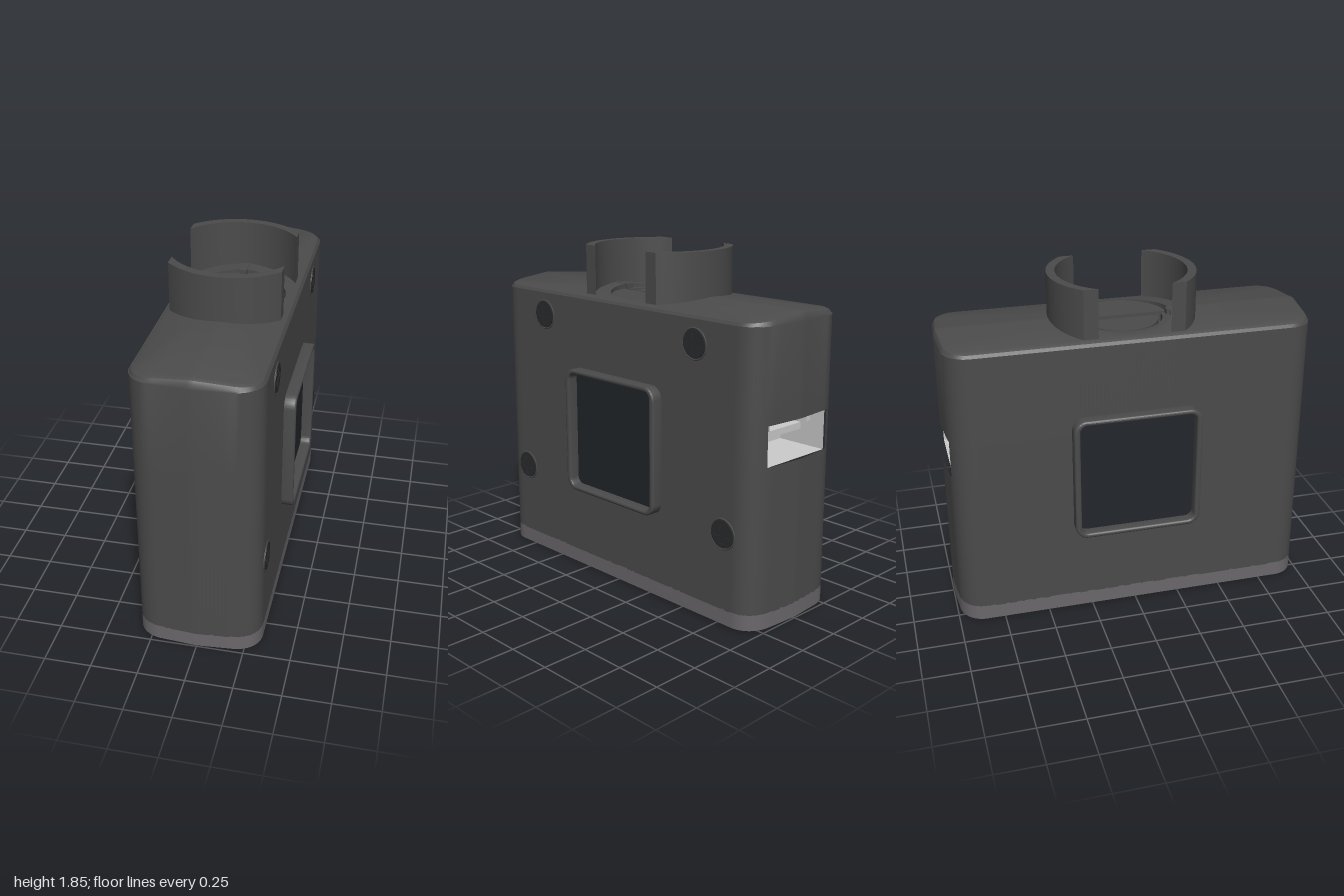
import * as THREE from 'three';
import { toCreasedNormals } from 'three/addons/utils/BufferGeometryUtils.js';

const mat = (color, side = THREE.FrontSide) => new THREE.MeshStandardMaterial({ color, side });
const dark = mat(0x4b4b4b), plate = mat(0x6b676b), black = mat(0x2a2b2c), glass = mat(0x22262a);
const pale = mat(0xcccccc), paleInside = mat(0xcccccc, THREE.BackSide);

function add(parent, name, geometry, material, x = 0, y = 0, z = 0) {
  const mesh = new THREE.Mesh(geometry, material);
  mesh.name = name;
  mesh.position.set(x, y, z);
  parent.add(mesh);
  return mesh;
}

const extrude = (shape, depth, bevel = 0) => toCreasedNormals(new THREE.ExtrudeGeometry(shape, {
  depth: depth - bevel, curveSegments: 24, bevelEnabled: bevel > 0,
  bevelSize: bevel, bevelOffset: -bevel, bevelThickness: bevel, bevelSegments: 3,
}), 0.6);

// extrude a plan shape upwards
const slab = (shape, depth) => extrude(shape, depth).rotateX(-Math.PI / 2);

function circle(r, x = 0, y = 0) {
  return new THREE.Path().absarc(x, y, r, 0, Math.PI * 2);
}

// plan outline with slightly bowed ends and rounded corners
function outline() {
  const s = new THREE.Shape();
  s.moveTo(0, 1);
  s.lineTo(0.2, 0.985);
  s.bezierCurveTo(0.28, 0.975, 0.33, 0.92, 0.33, 0.85);
  s.lineTo(0.33, -0.85);
  s.bezierCurveTo(0.33, -0.92, 0.28, -0.975, 0.2, -0.985);
  s.lineTo(0, -1);
  s.lineTo(-0.2, -0.985);
  s.bezierCurveTo(-0.28, -0.975, -0.33, -0.92, -0.33, -0.85);
  s.lineTo(-0.33, 0.85);
  s.bezierCurveTo(-0.33, 0.92, -0.28, 0.975, -0.2, 0.985);
  s.lineTo(0, 1);
  return s;
}

function roundedRect(Type, w, h, r) {
  const s = new Type();
  s.absarc(w - r, h - r, r, 0, Math.PI / 2);
  s.absarc(r - w, h - r, r, Math.PI / 2, Math.PI);
  s.absarc(r - w, r - h, r, Math.PI, Math.PI * 1.5);
  s.absarc(w - r, r - h, r, Math.PI * 1.5, Math.PI * 2);
  s.closePath();
  return s;
}

// housing: rings up the walls, over the ridged top and down into a round well
function housingGeometry() {
  const n = 240, pts = outline().getSpacedPoints(n).slice(0, n);
  const ridge = (x, y) => (y > 1.56 ? y - 0.09 * Math.abs(x) : y);
  const inset = (d, y) => pts.map((p, i) => {
    const t = pts[(i + 1) % n].clone().sub(pts[(i + n - 1) % n]).normalize();
    const x = p.x + t.y * d, z = p.y - t.x * d;
    return [x, ridge(x, y), z];
  });
  const round = (r, y) => pts.map((p) => {
    const l = p.length();
    return [p.x / l * r, ridge(p.x / l * r, y), p.y / l * r];
  });
  const rings = [
    inset(0, 0.08), inset(0, 0.86), inset(0, 1.07), inset(0, 1.555),
    inset(0.004, 1.582), inset(0.014, 1.598), inset(0.035, 1.607),
    round(0.265, 1.607), round(0.265, 1.53), round(0.0001, 1.53),
  ];
  const pos = [];
  for (let k = 0; k < rings.length - 1; k++) {
    for (let i = 0; i < n; i++) {
      const j = (i + 1) % n, mid = (pts[i].x + pts[j].x) / 2;
      if (k === 1 && pts[i].y < -0.9 && Math.abs(mid) < 0.22) continue; // socket opening
      const [a, b, c, d] = [rings[k][i], rings[k][j], rings[k + 1][j], rings[k + 1][i]];
      pos.push(...a, ...b, ...c, ...a, ...c, ...d);
    }
  }
  const g = new THREE.BufferGeometry();
  g.setAttribute('position', new THREE.Float32BufferAttribute(pos, 3));
  return toCreasedNormals(g, 0.5);
}

// cross-head screw facing +z
function screw(r) {
  const g = new THREE.Group();
  g.name = 'screw';
  const head = new THREE.Shape().absarc(0, 0, r * 0.88, 0, Math.PI * 2);
  const a = r * 0.16, b = r * 0.65, cross = new THREE.Path();
  cross.setFromPoints([[a, a], [b, a], [b, -a], [a, -a], [a, -b], [-a, -b], [-a, -a],
    [-b, -a], [-b, a], [-a, a], [-a, b], [a, b]].map(([x, y]) => new THREE.Vector2(x, y)));
  cross.closePath();
  head.holes.push(cross);
  add(g, 'screwHead', extrude(head, 0.006), black);
  add(g, 'screwSeat', new THREE.CircleGeometry(r, 32), black, 0, 0, 0.001);
  add(g, 'screwRim', new THREE.TorusGeometry(r * 0.96, 0.005, 6, 32), dark);
  return g;
}

export function createModel() {
  const model = new THREE.Group();
  add(model, 'housing', housingGeometry(), dark);

  // base plate with two rows of holes
  const base = outline();
  for (const z of [0.177, 0.53, 0.885])
    for (const sz of [-1, 1]) for (const sx of [-1, 1]) base.holes.push(circle(0.09, sx * 0.175, sz * z));
  for (const z of [-0.355, 0.355]) base.holes.push(circle(0.035, 0, z));
  add(model, 'basePlate', slab(base, 0.065), plate);
  add(model, 'basePlateTop', slab(outline(), 0.02), plate, 0, 0.065);
  for (const z of [-0.71, 0.71]) {
    const s = screw(0.1);
    s.rotation.x = Math.PI / 2;
    s.position.set(0, -0.0005, z);
    model.add(s);
  }

  // framed window on both sides
  for (const side of [1, -1]) {
    const w = new THREE.Group();
    w.name = side > 0 ? 'leftWindow' : 'rightWindow';
    const frame = roundedRect(THREE.Shape, 0.35, 0.35, 0.07);
    frame.holes.push(roundedRect(THREE.Path, 0.318, 0.324, 0.04));
    add(w, 'windowFrame', extrude(frame, 0.075, 0.01), dark, 0, 0, 0.318);
    add(w, 'windowPane', new THREE.PlaneGeometry(0.66, 0.66), glass, 0, 0, 0.334);
    w.rotation.y = side * Math.PI / 2;
    w.position.y = 0.82;
    model.add(w);
  }

  // screws on the left side
  for (const [z, y] of [[0.59, 1.43], [-0.58, 1.43], [0.79, 0.49], [-0.785, 0.49]]) {
    const s = screw(0.083);
    s.rotation.y = Math.PI / 2;
    s.position.set(0.33, y, z);
    model.add(s);
  }

  // curved clips on top
  const clip = new THREE.Shape(), ao = Math.acos(0.29 / 0.395), ai = Math.acos(0.29 / 0.348);
  clip.absarc(0, 0, 0.395, ao, Math.PI - ao);
  clip.absarc(0, 0, 0.348, Math.PI - ai, ai, true);
  clip.closePath();
  for (const turn of [0, Math.PI]) add(model, 'topClip', slab(clip, 0.295), dark, 0, 1.55).rotation.y = turn;

  // split turning disc in the well
  const half = (r, x, a0, a1) => {
    const a = Math.acos(x / r), s = new THREE.Shape();
    s.absarc(0, 0, r, a0 + a, a1 - a, a0 + a > a1 - a);
    s.closePath();
    return s;
  };
  add(model, 'discHalf', slab(half(0.258, 0.025, -Math.PI / 2 + Math.PI / 2, 0), 0.055), dark, 0, 1.525);
  add(model, 'discHalf', slab(half(0.2, 0.01, 0, 0), 0.05), dark, 0, 1.525).rotation.y = Math.PI;
  const ring = new THREE.Shape();
  ring.absarc(0, 0, 0.265, Math.PI / 2, Math.PI * 1.5);
  ring.absarc(0, 0, 0.222, Math.PI * 1.5, Math.PI / 2, true);
  ring.closePath();
  add(model, 'discCollar', slab(ring, 0.055), dark, 0, 1.525);
  for (const z of [-0.29, 0.29])
    add(model, 'discKey', new THREE.BoxGeometry(0.04, 0.05, 0.09), dark, -0.01, 1.583, z);

  // socket in the back
  add(model, 'socketShell', new THREE.BoxGeometry(0.45, 0.22, 0.28), paleInside, 0, 0.965, -0.83);
  add(model, 'socketTongue', new THREE.BoxGeometry(0.3, 0.035, 0.18), pale, 0, 0.98, -0.79);
  for (const x of [-0.16, 0.16])
    add(model, 'socketRib', new THREE.BoxGeometry(0.03, 0.06, 0.2), pale, x, 1.04, -0.82);
  return model;
}
